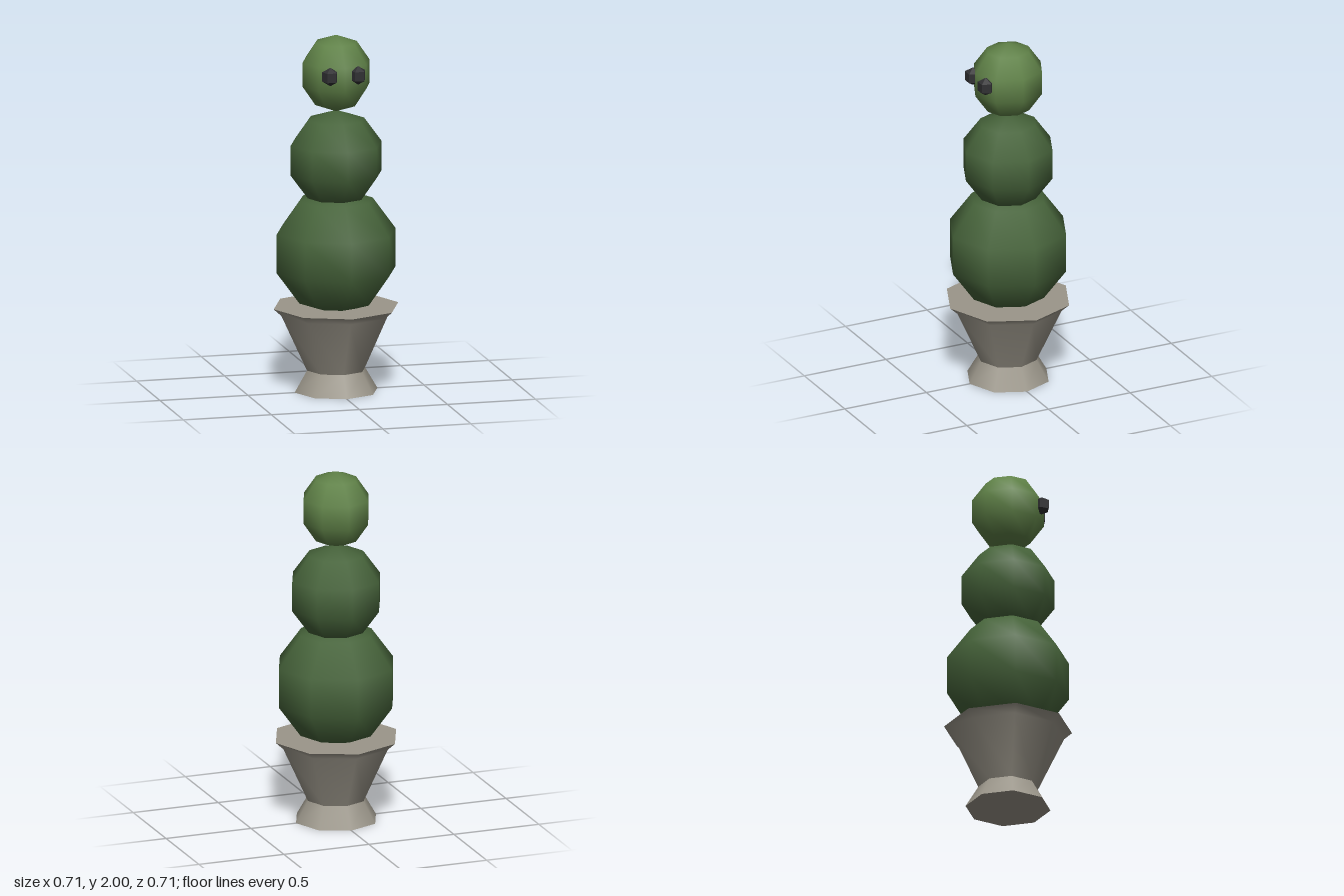
import * as THREE from 'three';

const SIDES = 8;

function material(name, color, flatShading = false) {
  const m = new THREE.MeshStandardMaterial({ color });
  m.name = name;
  m.flatShading = flatShading;
  return m;
}

export function createModel() {
  const group = new THREE.Group();
  group.name = 'topiary';
  const stone = material('stone', 0x9b968a);
  const leaf = material('dark leaf', 0x46633a);
  const headLeaf = material('light leaf', 0x5f8147);
  const black = material('eye black', 0x303032, true);

  const add = (name, geometry, mat, x = 0, y = 0, z = 0) => {
    const mesh = new THREE.Mesh(geometry, mat);
    mesh.name = name;
    mesh.position.set(x, y, z);
    group.add(mesh);
    return mesh;
  };

  // Pot: flared foot, bowl with a lip, flat soil-level top
  add('potFoot', new THREE.CylinderGeometry(0.165, 0.235, 0.12, SIDES), stone, 0, 0.06, 0);
  const bowl = [[0.165, 0.12], [0.31, 0.435], [0.354, 0.475]];
  add('potBowl', new THREE.LatheGeometry(bowl.map(([r, y]) => new THREE.Vector2(r, y)), SIDES), stone);
  add('potTop', new THREE.CircleGeometry(0.354, SIDES).rotateX(-Math.PI / 2), stone, 0, 0.475, 0);

  // Clipped foliage balls
  const ball = (r) => new THREE.SphereGeometry(r, SIDES, 5);
  add('lowerBall', ball(0.354), leaf, 0, 0.786, 0);
  add('middleBall', ball(0.271), leaf, 0, 1.306, 0);
  add('head', ball(1).scale(0.2, 0.215, 0.21), headLeaf, 0, 1.785, 0);

  // Faceted eyes, one flat face to the front
  for (const [name, side] of [['leftEye', 1], ['rightEye', -1]]) {
    const eye = new THREE.SphereGeometry(0.052, 5, 3).rotateY(-Math.PI / 2);
    add(name, eye, black, side * 0.079, 1.805, 0.176);
  }
  return group;
}
